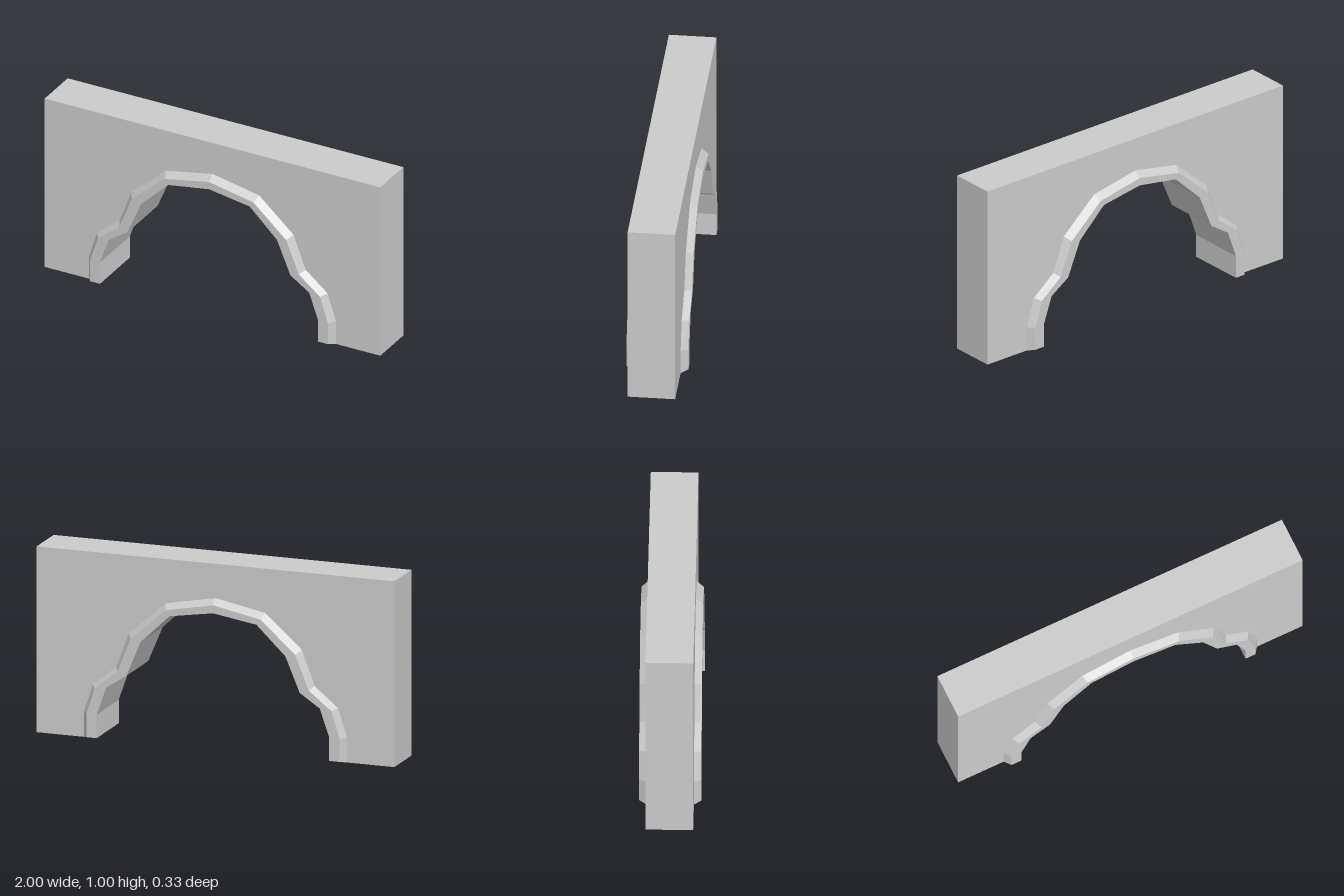
import * as THREE from 'three';

const WALL_Z = 0.125, TRIM_Z = 0.163, TOP = 1.005;

// Half profiles of the lobed arch, from the left foot up to the crown
const outerHalf = [[-0.735, 0], [-0.735, 0.137], [-0.685, 0.29], [-0.555, 0.395], [-0.483, 0.585], [-0.278, 0.766]];
const middleHalf = [[-0.708, 0.01], [-0.708, 0.133], [-0.662, 0.28], [-0.535, 0.38], [-0.46, 0.565], [-0.265, 0.738]];
const innerHalf = [[-0.65, 0.01], [-0.65, 0.137], [-0.597, 0.288], [-0.485, 0.362], [-0.405, 0.552], [-0.243, 0.708]];

// Mirror a half profile around its crown
function arch(half, crown) {
  return [...half, [0, crown], ...half.map(([x, y]) => [-x, y]).reverse()];
}

function createModel() {
  const group = new THREE.Group();
  const material = new THREE.MeshStandardMaterial({ color: 0xcccccc, flatShading: true });
  const outer = arch(outerHalf, 0.82);
  const middle = arch(middleHalf, 0.79);
  const inner = arch(innerHalf, 0.747);

  // Wall slab with the arched opening cut from below
  const shape = new THREE.Shape();
  shape.moveTo(-1, 0);
  for (const [x, y] of outer) shape.lineTo(x, y);
  shape.lineTo(1, 0);
  shape.lineTo(1, TOP);
  shape.lineTo(-1, TOP);
  shape.closePath();
  const wallGeometry = new THREE.ExtrudeGeometry(shape, { depth: 2 * WALL_Z, bevelEnabled: false });
  wallGeometry.translate(0, 0, -WALL_Z);
  const wall = new THREE.Mesh(wallGeometry, material);
  wall.name = 'wall';
  group.add(wall);

  // Bevelled trim: a six-point section swept along the arch, front to back
  const rails = [
    [outer, WALL_Z], [middle, TRIM_Z], [inner, TRIM_Z],
    [inner, -TRIM_Z], [middle, -TRIM_Z], [outer, -WALL_Z],
  ];
  const count = outer.length, n = rails.length;
  const positions = [], indices = [];
  for (let i = 0; i < count; i++) {
    for (const [path, z] of rails) positions.push(path[i][0], path[i][1], z);
  }
  for (let i = 0; i < count - 1; i++) {
    for (let k = 0; k < n - 1; k++) {
      const a = i * n + k, b = a + n;
      indices.push(a, a + 1, b + 1, a, b + 1, b);
    }
  }
  // Undersides of both feet
  const end = (count - 1) * n;
  for (let k = 1; k < n - 1; k++) {
    indices.push(0, k + 1, k, end, end + k, end + k + 1);
  }
  const indexed = new THREE.BufferGeometry();
  indexed.setAttribute('position', new THREE.Float32BufferAttribute(positions, 3));
  indexed.setIndex(indices);
  const trimGeometry = indexed.toNonIndexed();
  trimGeometry.computeVertexNormals();
  const trim = new THREE.Mesh(trimGeometry, material);
  trim.name = 'archTrim';
  group.add(trim);

  return group;
}

export { createModel };
